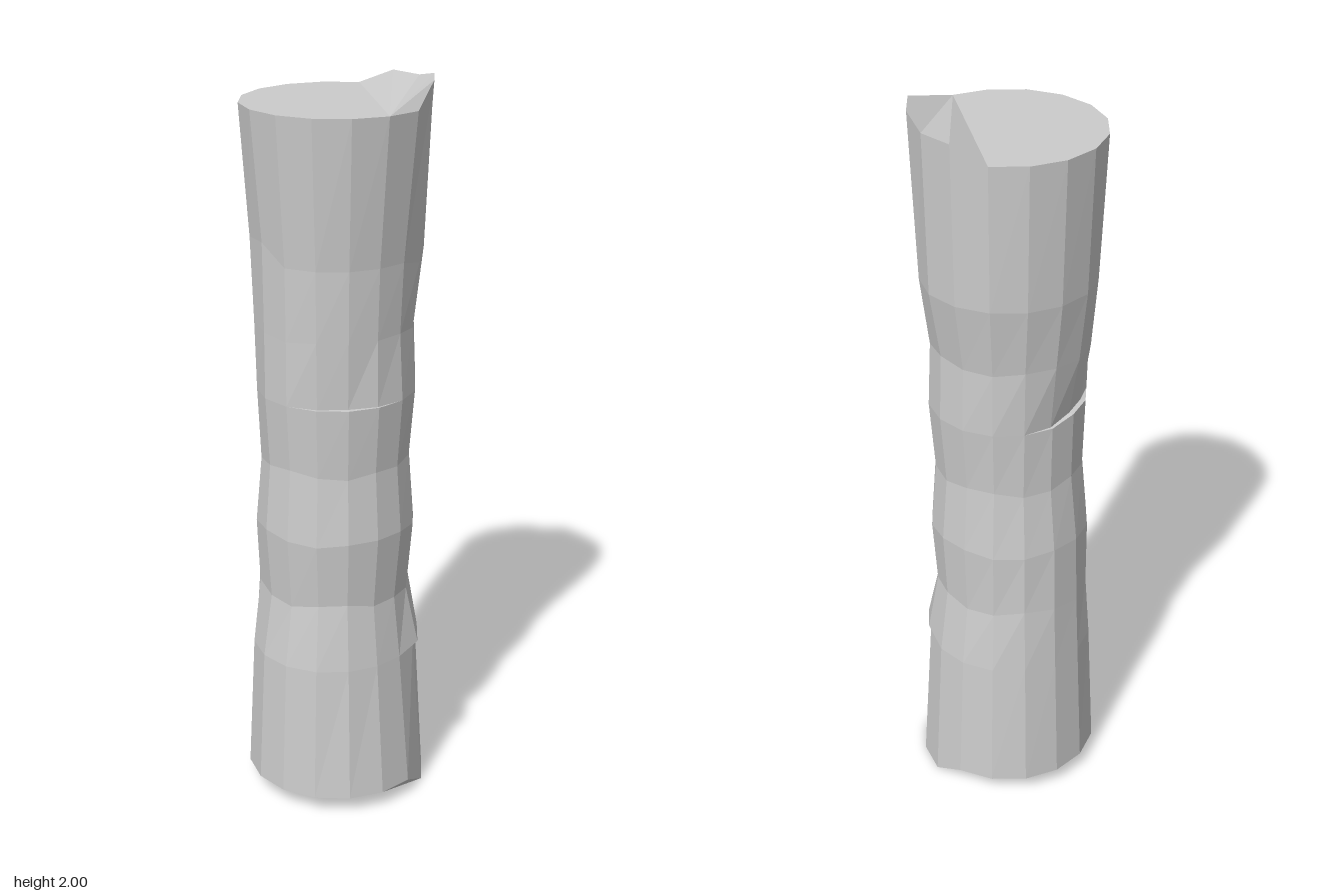
import * as THREE from 'three';

const SIDES = 16;
const START = THREE.MathUtils.degToRad(12.6);

// Each ring: height, then radius towards +x, +z, -x, -z
const RINGS = [
  { y: 0.05, r: [0.25, 0.25, 0.25, 0.25], lift: { 12: -0.05, 13: -0.05, 14: -0.05 } },
  { y: 0.43, r: [0.215, 0.232, 0.233, 0.228], lift: { 13: 0.02, 14: 0.01 } },
  // chipped step on the back right
  { y: 0.43, r: [0.215, 0.232, 0.233, 0.228], lift: { 13: 0.02, 14: 0.01 }, push: { 13: 0.006, 14: 0.014 } },
  { y: 0.61, r: [0.195, 0.205, 0.226, 0.203], wobble: 0.01 },
  { y: 0.8, r: [0.214, 0.22, 0.22, 0.213], wobble: 0.006 },
  { y: 0.99, r: [0.2, 0.206, 0.2, 0.198], wobble: 0.008 },
  { y: 1.18, r: [0.214, 0.218, 0.203, 0.214], lift: { 6: 0.01, 7: 0.01 } },
  // shallow ledges on the front right and the left
  { y: 1.18, r: [0.214, 0.218, 0.203, 0.214], lift: { 6: 0.01, 7: 0.01 },
    push: { 0: -0.006, 1: -0.014, 2: -0.008, 6: -0.014, 7: -0.014, 8: -0.008 } },
  { y: 1.36, r: [0.204, 0.218, 0.217, 0.208], wobble: 0.006 },
  { y: 1.55, r: [0.212, 0.22, 0.238, 0.24], lift: { 4: 0.05, 5: 0.045, 14: -0.02 } },
  { y: 1.94, r: [0.25, 0.25, 0.25, 0.25], lift: { 11: 0.04, 12: 0.04, 13: 0.06, 14: 0.06 } },
];

// Radius blended between the four main directions
function blend(r, angle) {
  const c = Math.cos(angle), s = Math.sin(angle);
  return c * c * r[c > 0 ? 0 : 2] + s * s * r[s > 0 ? 1 : 3];
}

function ringPoints({ y, r, lift = {}, push = {}, wobble = 0 }) {
  return Array.from({ length: SIDES }, (_, k) => {
    const a = START + (k * Math.PI * 2) / SIDES;
    const radius = blend(r, a) + (push[k] ?? 0);
    const height = y + (lift[k] ?? 0) + wobble * Math.sin(k * 1.7 + y * 9);
    return [Math.cos(a) * radius, height, Math.sin(a) * radius];
  });
}

export function createModel() {
  const group = new THREE.Group();
  group.name = 'roughColumn';
  const material = new THREE.MeshStandardMaterial({ color: 0xcccccc, flatShading: true });
  const rings = RINGS.map(ringPoints);

  function addPart(name, points, indices) {
    const geometry = new THREE.BufferGeometry();
    geometry.setAttribute('position', new THREE.Float32BufferAttribute(points.flat(), 3));
    geometry.setIndex(indices);
    const flat = geometry.toNonIndexed();
    flat.computeVertexNormals();
    const mesh = new THREE.Mesh(flat, material);
    mesh.name = name;
    group.add(mesh);
  }

  // Faceted shaft skinned through the rings
  const wall = [];
  for (let i = 0; i < rings.length - 1; i++) {
    for (let k = 0; k < SIDES; k++) {
      const n = (k + 1) % SIDES;
      const a = i * SIDES + k, b = i * SIDES + n;
      wall.push(a, a + SIDES, b, b, a + SIDES, b + SIDES);
    }
  }
  addPart('shaft', rings.flat(), wall);

  // Broken end faces, each fanned from one rim corner
  const top = [], bottom = [];
  for (let k = 1; k < SIDES - 1; k++) {
    top.push(0, k + 1, k);
    bottom.push(0, k, k + 1);
  }
  addPart('topFace', rings[rings.length - 1], top);
  addPart('bottomFace', rings[0], bottom);
  return group;
}
